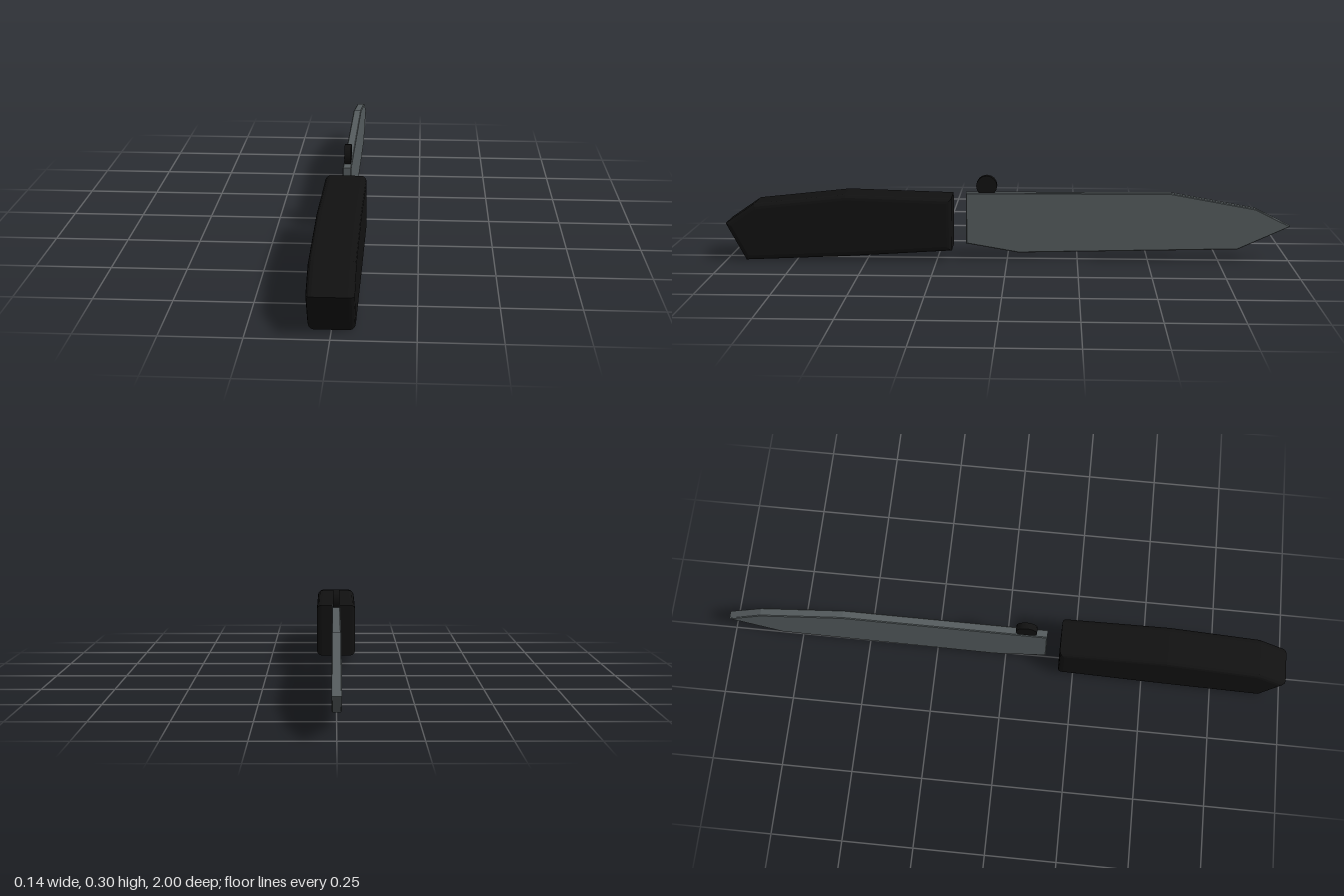
import * as THREE from 'three';

const handleBlack = new THREE.MeshStandardMaterial({ name: 'handle black', color: 0x111111 });
const bladeSteel = new THREE.MeshStandardMaterial({ name: 'blade steel', color: 0x555c5e });

// Side profile of [z, y] points, extruded across x with bevelled edges
function profilePart(name, points, width, bevel, segments, material) {
  const shape = new THREE.Shape(points.map(([z, y]) => new THREE.Vector2(z, y)));
  const depth = width - 2 * bevel;
  const geometry = new THREE.ExtrudeGeometry(shape, {
    depth,
    bevelEnabled: true,
    bevelThickness: bevel,
    bevelSize: bevel,
    bevelOffset: -bevel,
    bevelSegments: segments,
  });
  geometry.translate(0, 0, -depth / 2);
  geometry.rotateY(-Math.PI / 2);
  const mesh = new THREE.Mesh(geometry, material);
  mesh.name = name;
  return mesh;
}

export function createModel() {
  const knife = new THREE.Group();
  knife.name = 'knife';

  // Chunky grip with a pointed pommel and rounded side edges
  knife.add(profilePart('handle', [
    [1.0, 0.133], [0.93, 0], [0.57, 0.016], [0.195, 0.04],
    [0.195, 0.229], [0.57, 0.24], [0.895, 0.205],
  ], 0.142, 0.018, 3, handleBlack));

  // Thin blade, separated from the grip by a small gap
  knife.add(profilePart('blade', [
    [0.147, 0.24], [0.147, 0.056], [-0.04, 0.024], [-0.818, 0.043],
    [-1.0, 0.128], [-0.877, 0.19], [-0.576, 0.244],
  ], 0.03, 0.003, 1, bladeSteel));

  // Thumb disc standing on the blade's spine
  const disc = new THREE.CylinderGeometry(0.037, 0.037, 0.023, 16);
  disc.rotateZ(Math.PI / 2);
  const stud = new THREE.Mesh(disc, handleBlack);
  stud.name = 'thumbStud';
  stud.position.set(0, 0.265, 0.073);
  knife.add(stud);

  return knife;
}
